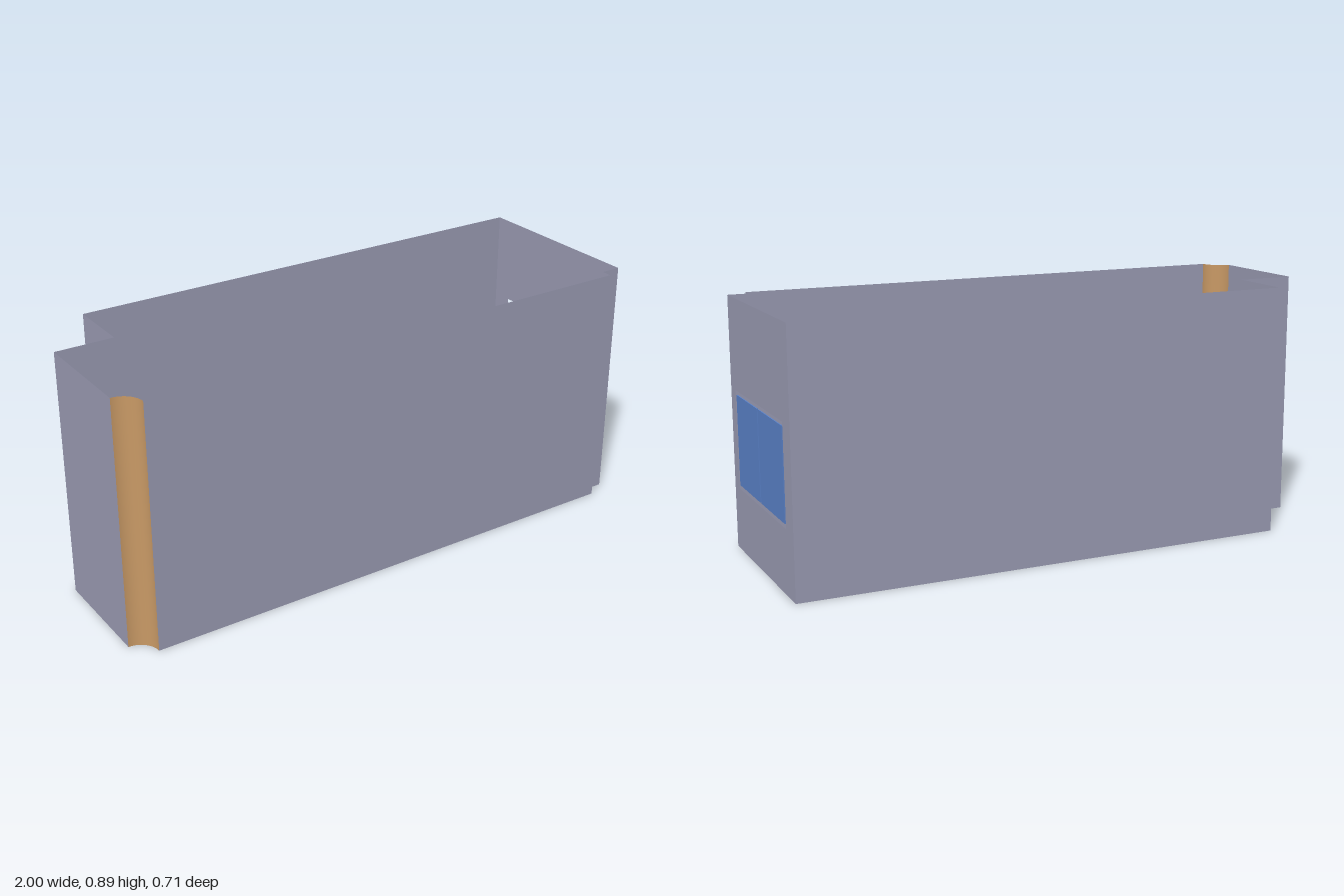
import * as THREE from 'three';

const H = 0.89;

function mat(name, color) {
  const m = new THREE.MeshStandardMaterial({ color, side: THREE.DoubleSide });
  m.name = name;
  return m;
}

export function createModel() {
  const room = new THREE.Group();
  room.name = 'room';
  const wallGrey = mat('wall grey', 0x9c9db5);
  const floorTan = mat('floor tan', 0xa98f7b);
  const columnOrange = mat('column orange', 0xc99a66);
  const glassBlue = mat('glass blue', 0x5b83cb);

  const add = (name, geometry, material) => {
    const mesh = new THREE.Mesh(geometry, material);
    mesh.name = name;
    room.add(mesh);
    return mesh;
  };

  // Upright sheet from plan point a to plan point b; openings are [from, to, bottom, top]
  const wall = (name, [ax, az], [bx, bz], opening) => {
    const len = Math.hypot(bx - ax, bz - az);
    const s = new THREE.Shape();
    if (opening && opening[2] === 0) {
      // doorway reaching the floor and the far end of the wall
      const [from, , , top] = opening;
      [[0, 0], [from, 0], [from, top], [len, top], [len, H], [0, H]]
        .forEach(([x, y], i) => (i ? s.lineTo(x, y) : s.moveTo(x, y)));
    } else {
      s.moveTo(0, 0).lineTo(len, 0).lineTo(len, H).lineTo(0, H);
      if (opening) {
        const [l, r, b, t] = opening;
        s.holes.push(new THREE.Path().moveTo(l, b).lineTo(l, t).lineTo(r, t).lineTo(r, b));
      }
    }
    const g = new THREE.ShapeGeometry(s);
    g.rotateY(-Math.atan2(bz - az, bx - ax));
    g.translate(ax, 0, az);
    add(name, g, wallGrey);
  };

  // Plan, from the front left notch clockwise to the hollow corner
  const F = 0.355, B = -0.355, R = 0.073;
  wall('frontWall', [-1 + R, F], [0.926, F]);
  wall('notchSide', [0.926, F], [0.926, 0.317]);
  wall('notchFront', [0.926, 0.317], [1, 0.317]);
  wall('windowWall', [1, 0.317], [1, B], [0.317 - 0.265, 0.317 + 0.279, 0.223, 0.57]);
  wall('backWall', [1, B], [-0.79, B]);
  wall('doorWall', [-0.79, -0.119], [-0.79, B], [0.026, 0.236, 0, 0.74]);
  wall('alcoveBack', [-0.79, -0.119], [-1, -0.119]);
  wall('alcoveSide', [-1, -0.119], [-1, F - R]);

  // Hollow quarter-round column at the front corner
  const column = new THREE.CylinderGeometry(R, R, H, 12, 1, true, Math.PI / 2, Math.PI / 2);
  column.translate(-1, H / 2, F);
  add('cornerColumn', column, columnOrange);

  // Floor following the plan
  const plan = new THREE.Shape();
  plan.moveTo(-1 + R, -F);
  [[0.926, -F], [0.926, -0.317], [1, -0.317], [1, -B], [-0.79, -B], [-0.79, 0.119],
    [-1, 0.119], [-1, -F + R]].forEach(([x, y]) => plan.lineTo(x, y));
  plan.absarc(-1, -F, R, Math.PI / 2, 0, true);
  add('floor', new THREE.ShapeGeometry(plan, 12).rotateX(-Math.PI / 2), floorTan);

  // Two panes floating in the window opening
  [[0.253, 0.006], [-0.006, -0.265]].forEach(([z0, z1], i) => {
    const pane = new THREE.BoxGeometry(0.004, 0.318, z0 - z1);
    pane.translate(0.998, 0.396, (z0 + z1) / 2);
    add('windowPane' + (i + 1), pane, glassBlue);
  });

  return room;
}
